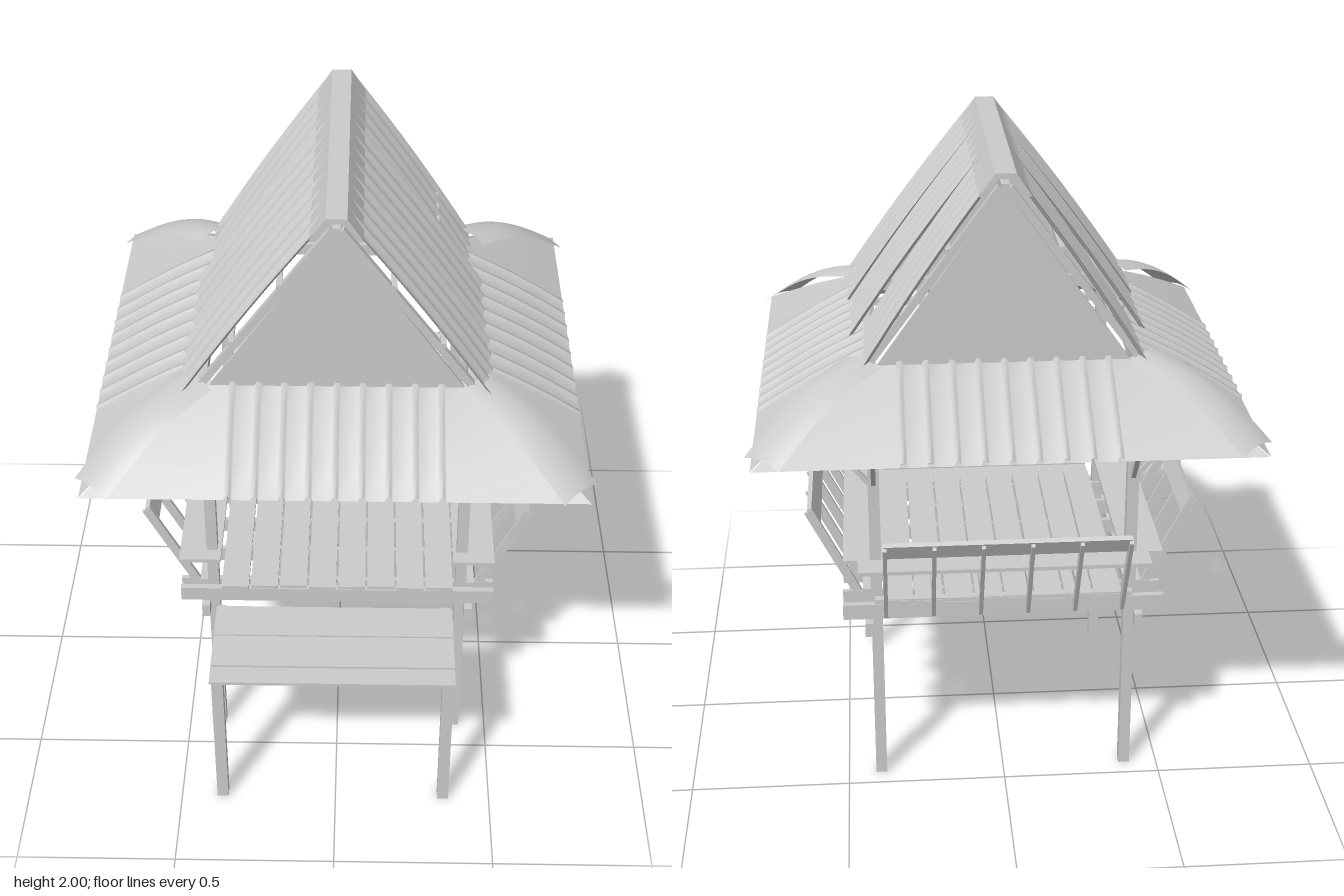
import * as THREE from 'three';

const mat = new THREE.MeshStandardMaterial({ color: 0xcccccc, flatShading: true });
const sheetMat = new THREE.MeshStandardMaterial({ color: 0xcccccc, side: THREE.DoubleSide });
const CZ = -0.02;                 // centre of the posts and roof in z
const lerp = THREE.MathUtils.lerp;

function add(parent, name, geo, material = mat) {
  const m = new THREE.Mesh(geo, material);
  m.name = name;
  parent.add(m);
  return m;
}

function box(parent, name, x, y, z, w, h, d) {
  const m = add(parent, name, new THREE.BoxGeometry(w, h, d));
  m.position.set(x, y, z);
  return m;
}

// Straight timber between two points, w wide and h deep
function bar(parent, name, a, b, w, h) {
  const p = new THREE.Vector3(...a), q = new THREE.Vector3(...b);
  const m = add(parent, name, new THREE.BoxGeometry(w, h, p.distanceTo(q)));
  m.position.copy(p).lerp(q, 0.5);
  m.lookAt(q);
  return m;
}

// Thin sheet whose grid points are given by fn(column, row), both 0..1
function sheet(parent, name, nu, nv, fn) {
  const geo = new THREE.PlaneGeometry(1, 1, nu, nv);
  const pos = geo.attributes.position;
  for (let j = 0; j <= nv; j++)
    for (let i = 0; i <= nu; i++) pos.setXYZ(j * (nu + 1) + i, ...fn(i / nu, j / nv, i));
  geo.computeVertexNormals();
  return add(parent, name, geo, sheetMat);
}

// Bench with a leaning slatted back; outward is local +x
function bench() {
  const g = new THREE.Group();
  g.name = 'bench';
  for (let i = 0; i < 6; i++) {
    const z = -0.367 + i * 0.1468;
    bar(g, 'backrestStrut', [0.44, 0.6, z], [0.597, 0.91, z], 0.012, 0.028);
    box(g, 'seatBracket', 0.435, 0.718, z, 0.09, 0.03, 0.014);
  }
  bar(g, 'backrestBoard', [0.567, 0.866, 0], [0.594, 0.918, 0], 0.74, 0.016);
  box(g, 'seatRail', 0.4, 0.75, 0, 0.03, 0.034, 0.82);
  box(g, 'seatPlank', 0.43, 0.77, 0, 0.13, 0.012, 0.9);
  box(g, 'lowerRail', 0.425, 0.642, 0, 0.025, 0.014, 0.8);
  return g;
}

// One side of the lower roof; outward is local +z
function skirtSide() {
  const g = new THREE.Group();
  g.name = 'lowerRoofSide';
  const cols = [[-0.41, -0.735, 0]];
  for (let k = -4; k <= 4; k++)
    for (const [o, h] of [[-0.012, 0], [-0.006, 0.013], [0.006, 0.013], [0.012, 0]]) {
      const x = k * 0.077 + o;
      cols.push([x, x, h]);
    }
  cols.push([0.41, 0.735, 0]);
  sheet(g, 'lowerRoofSheet', cols.length - 1, 4, (u, v, i) => [
    lerp(cols[i][0], cols[i][1], v),
    lerp(1.42, 1.232, v) + 0.008 * Math.sin(Math.PI * v) + cols[i][2],
    lerp(0.41, 0.738, v),
  ]);
  // Supporting timbers
  box(g, 'eaveBeam', 0, 1.228, 0.67, 1.36, 0.022, 0.025);
  box(g, 'wallPlate', 0, 1.385, 0.405, 0.84, 0.04, 0.03);
  for (const x of [-0.395, -0.13, 0.13, 0.395])
    bar(g, 'eaveRafter', [x, 1.39, 0.41], [x, 1.228, 0.69], 0.02, 0.022);
  for (const x of [-0.395, 0.395])
    bar(g, 'eaveBrace', [x, 1.02, 0.405], [x, 1.225, 0.57], 0.014, 0.014);
  return g;
}

// Arched cover over a hip; runs outward along local +z
function hipCap() {
  const g = new THREE.Group();
  g.name = 'hip';
  sheet(g, 'hipCap', 8, 10, (u, v) => {
    const c = u * 2 - 1;
    return [c * 0.072,
      lerp(1.425, 1.24, v) + 0.035 * Math.sin(Math.PI * v) + 0.016 * (1 - c * c),
      lerp(0.59, 1.0, v)];
  });
  bar(g, 'hipRafter', [0, 1.39, 0.56], [0, 1.225, 0.96], 0.022, 0.022);
  return g;
}

export function createModel() {
  const model = new THREE.Group();
  model.name = 'pavilion';

  // Posts
  for (const x of [-0.395, 0.395])
    for (const z of [0.39, -0.425]) box(model, 'post', x, 0.7, z, 0.035, 1.4, 0.035);
  for (const x of [-0.367, 0.35]) box(model, 'deckPost', x, 0.28, 0.718, 0.036, 0.56, 0.036);

  // Floor frame and planks
  for (const x of [-0.42, 0.42])
    box(model, 'floorBeam', x, 0.553, -0.0175, 0.025, 0.046, 0.935);
  for (let i = 0; i < 6; i++)
    box(model, 'joist', 0, 0.605, -0.362 + i * 0.1468, 1.0, 0.05, 0.016);
  for (const z of [0.417, -0.452]) box(model, 'endJoist', 0, 0.605, z, 1.0, 0.05, 0.02);
  for (let i = 0; i < 8; i++)
    box(model, 'floorPlank', -0.325 + i * 0.093, 0.637 + (i % 3) * 0.003, -0.02, 0.086, 0.012, 0.9);

  // Front deck
  for (let i = 0; i < 5; i++) {
    const p = box(model, 'deckPlank', -0.008, 0.566 + (i % 2) * 0.004, 0.478 + i * 0.069, 0.755, 0.01, 0.067);
    p.rotation.x = 0.02 * (i % 3 - 1);
  }
  for (const x of [-0.367, 0.35]) box(model, 'deckBearer', x, 0.552, 0.58, 0.025, 0.018, 0.3);

  // Benches on both sides and the back
  for (const [angle, z] of [[0, 0.005], [Math.PI, 0.005], [Math.PI / 2, -0.03]]) {
    const b = bench();
    b.rotation.y = angle;
    b.position.z = z;
    model.add(b);
  }

  // Lower roof
  for (let i = 0; i < 4; i++) {
    const s = skirtSide(), h = hipCap();
    s.rotation.y = i * Math.PI / 2;
    h.rotation.y = (i + 0.5) * Math.PI / 2;
    s.position.z = h.position.z = CZ - 0.003;
    model.add(s, h);
  }

  // Upper roof: three slightly shifted corrugated sheets per slope
  // [front z at top, front z at eave, back z at top, back z at eave, eave x]
  const sheets = [
    [0.44, 0.462, 0.14, 0.15, 0.465],
    [0.14, 0.14, -0.18, -0.18, 0.458],
    [-0.17, -0.17, -0.488, -0.488, 0.428],
  ];
  for (const s of [-1, 1])
    for (const [ft, fe, bt, be, ex] of sheets)
      sheet(model, 'upperRoofSheet', 48, 8, (u, v) => {
        const rib = 0.014 * Math.pow(Math.abs(Math.cos(u * Math.PI * 4)), 4);
        const lift = rib + 0.008 * Math.sin(Math.PI * v);
        return [s * (lerp(0.03, ex - 0.012, v) + lift * 0.8),
          lerp(1.975, 1.405, v) + lift * 0.6,
          lerp(lerp(ft, fe, v), lerp(bt, be, v), u)];
      });

  // Ridge cap
  const cap = new THREE.Shape([
    [-0.075, 1.932], [-0.06, 1.932], [-0.02, 1.985], [0.02, 1.985], [0.06, 1.932],
    [0.075, 1.932], [0.03, 2], [-0.03, 2],
  ].map(p => new THREE.Vector2(...p)));
  add(model, 'ridgeCap', new THREE.ExtrudeGeometry(cap, { depth: 0.93, bevelEnabled: false }))
    .position.z = -0.49;

  // Gable walls and upper rafters
  const gable = new THREE.Shape([[-0.385, 1.4], [0.385, 1.4], [0, 1.945]].map(p => new THREE.Vector2(...p)));
  for (const z of [0.39, -0.44])
    add(model, 'gableWall', new THREE.ExtrudeGeometry(gable, { depth: 0.012, bevelEnabled: false }))
      .position.z = z;
  for (const s of [-1, 1]) {
    for (const z of [0.41, 0.13, -0.17, -0.45])
      bar(model, 'rafter', [s * 0.415, 1.405, z], [s * 0.012, 1.95, z], 0.022, 0.022);
    for (const t of [0.3, 0.65])
      box(model, 'purlin', s * lerp(0.43, 0.02, t), lerp(1.405, 1.96, t), CZ, 0.016, 0.016, 0.88);
  }
  box(model, 'ridgeBeam', 0, 1.945, CZ, 0.025, 0.04, 0.9);
  return model;
}
